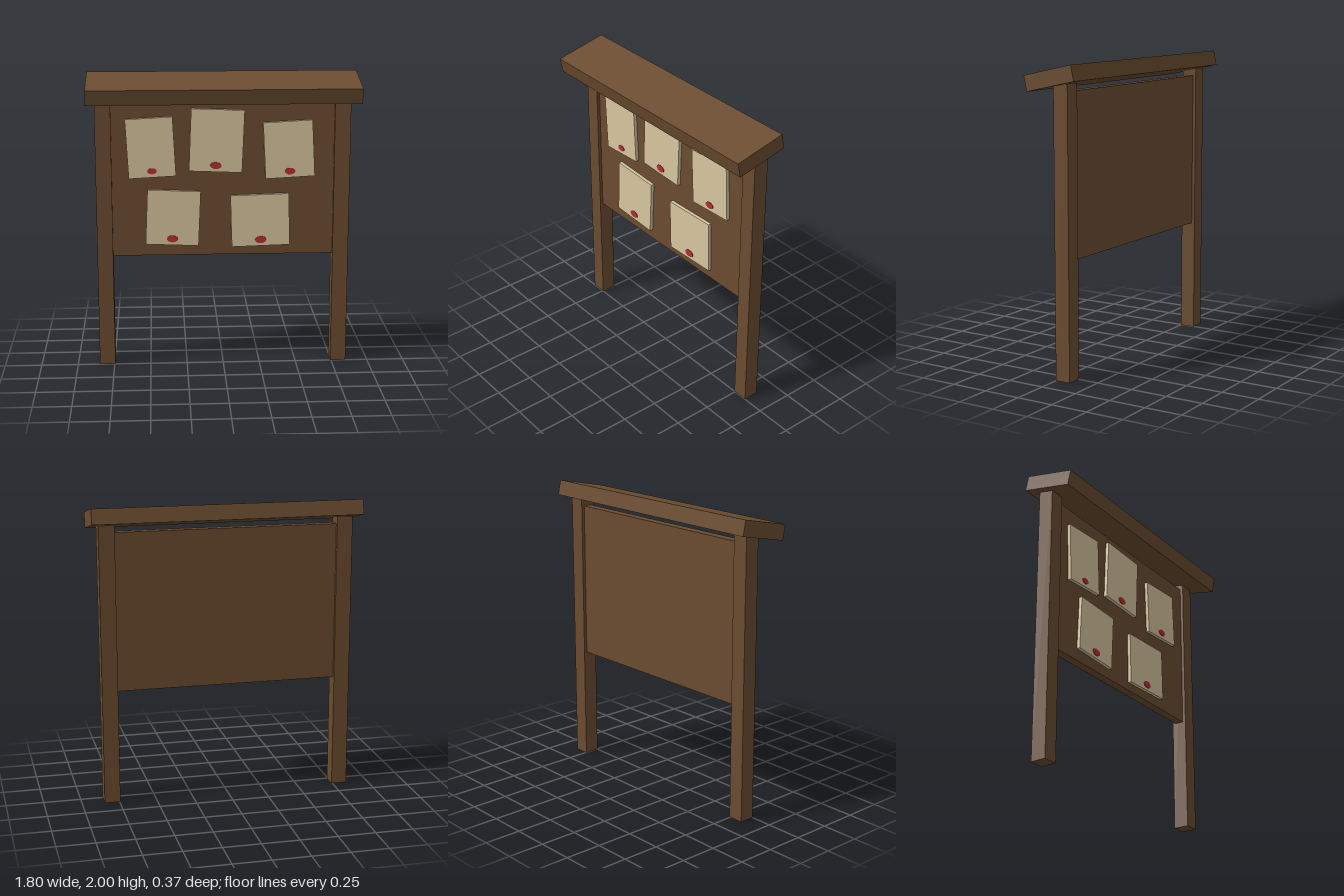
import * as THREE from 'three';

const material = (name, color) => {
  const m = new THREE.MeshStandardMaterial({ color });
  m.name = name;
  return m;
};

export function createModel() {
  const wood = material('brown wood', 0x6b4c30);
  const parchment = material('parchment', 0xd8c69f);
  const wax = material('red wax', 0xbb2c33);

  const model = new THREE.Group();
  model.name = 'noticeBoard';

  const box = (name, parent, mat, size, pos) => {
    const mesh = new THREE.Mesh(new THREE.BoxGeometry(...size), mat);
    mesh.name = name;
    mesh.position.set(...pos);
    parent.add(mesh);
    return mesh;
  };

  // Two posts, tops buried in the sloping roof
  for (const [name, side] of [['leftPost', 1], ['rightPost', -1]]) {
    box(name, model, wood, [0.106, 1.88, 0.104], [side * 0.797, 0.94, -0.052]);
  }

  // Panel between the posts, set back from both of their faces
  box('panel', model, wood, [1.49, 1.06, 0.06], [0, 1.3, -0.052]);

  // Plank roof, higher at the back
  const roof = box('roof', model, wood, [1.8, 0.102, 0.357], [0, 1.9125, 0]);
  roof.rotation.x = THREE.MathUtils.degToRad(12.3);

  // Pinned notices: x, y, width, height, tilt in degrees, seal radius
  const notices = [
    [-0.483, 1.513, 0.315, 0.4, 3, 0.032],
    [-0.043, 1.557, 0.355, 0.42, -2.3, 0.038],
    [0.44, 1.494, 0.33, 0.38, 3, 0.036],
    [-0.337, 1.033, 0.357, 0.375, -2.5, 0.038],
    [0.25, 1.01, 0.393, 0.355, 1.7, 0.039],
  ];
  for (const [x, y, w, h, tilt, r] of notices) {
    const notice = new THREE.Group();
    notice.name = 'notice';
    notice.position.set(x, y, 0);
    notice.rotation.z = THREE.MathUtils.degToRad(tilt);
    box('paper', notice, parchment, [w, h, 0.023], [0, 0, -0.0105]);

    // Oval wax seal near the lower edge
    const geometry = new THREE.CylinderGeometry(r, r, 0.005, 12);
    geometry.rotateX(Math.PI / 2).scale(1, 0.63, 1);
    const seal = new THREE.Mesh(geometry, wax);
    seal.name = 'waxSeal';
    seal.position.set(0, 0.04 - h / 2 + 0.003, 0.0025);
    notice.add(seal);
    model.add(notice);
  }

  return model;
}
